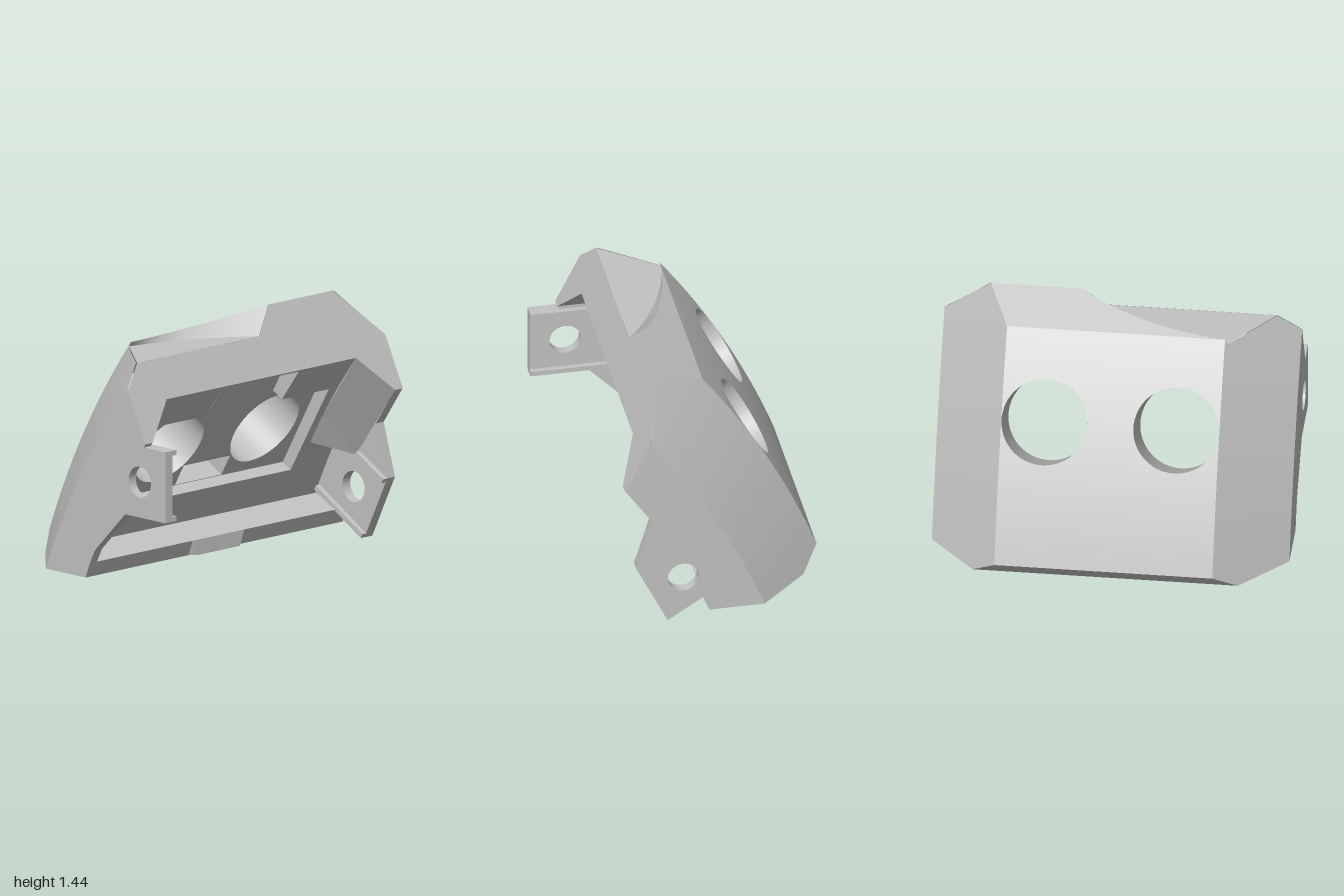
import * as THREE from 'three';

const V = (x, y, z) => new THREE.Vector3(x, y, z);
const lerp = THREE.MathUtils.lerp;

// Outer skin and cavity floor are arcs about one axis parallel to z
const CX = 3.557, CY = -1.423, R = 4.5, FLOOR_R = 4.026, DEPTH = 0.385, EDGE = 0.61, BASE = 0.042;
const arc = (r, a, z) => V(CX - r * Math.cos(a), CY + r * Math.sin(a), z);
const angleAt = (r, y) => Math.asin((y - CY) / r);
const floorAt = (y, z) => arc(FLOOR_R, angleAt(FLOOR_R, y), z);
// Tilted frame of the recess: f runs up its floor, g points out of it
const tilt = (f, g, z) => V(0.5 * f + 0.866 * g, 0.866 * f - 0.5 * g, z);
const drop = (p, g) => tilt(0.5 * p.x + 0.866 * p.y, g, p.z);
// Point on the sloping rear rim
const rimAt = (y, z) => V(0.228 + (1.437 - y) * 0.4945, y, z);
const RECESS = -0.2985, POCKET = -0.4385;
const HOLE_R = 0.24, HOLE_Z = 0.369, HOLE_F = 0.614, HOLE_A = 0.5388;

export function createModel() {
  const group = new THREE.Group();
  const grey = new THREE.MeshStandardMaterial({ color: 0xc2c2c2, side: THREE.DoubleSide });
  grey.name = 'grey';

  const add = (name, geo) => {
    const mesh = new THREE.Mesh(geo, grey);
    mesh.name = name;
    group.add(mesh);
    return mesh;
  };

  // Flat polygon in space, with optional holes
  const poly = (name, pts, holes = []) => {
    const n = V(0, 0, 0);
    pts.forEach((p, i) => n.add(p.clone().cross(pts[(i + 1) % pts.length])));
    n.normalize();
    const e = pts[1].clone().sub(pts[0]).normalize();
    const w = n.clone().cross(e);
    const flat = (l) => l.map((p) => new THREE.Vector2(p.dot(e), p.dot(w)));
    const tris = THREE.ShapeUtils.triangulateShape(flat(pts), holes.map(flat));
    const geo = new THREE.BufferGeometry().setFromPoints([...pts, ...holes.flat()]);
    geo.setIndex(tris.flat());
    const out = geo.toNonIndexed();
    out.computeVertexNormals();
    return add(name, out);
  };

  // Smooth surface from a rule over u and v in 0..1
  const surf = (name, rule, nu, nv) => {
    const pts = [], idx = [];
    for (let i = 0; i <= nu; i++) for (let j = 0; j <= nv; j++) pts.push(rule(i / nu, j / nv));
    for (let i = 0; i < nu; i++) for (let j = 0; j < nv; j++) {
      const a = i * (nv + 1) + j, b = a + nv + 1;
      idx.push(a, b, a + 1, b, b + 1, a + 1);
    }
    const geo = new THREE.BufferGeometry().setFromPoints(pts);
    geo.setIndex(idx);
    geo.computeVertexNormals();
    return add(name, geo);
  };

  // Walls joining two matching closed loops
  const walls = (name, a, b) => a.forEach((p, i) => {
    const k = (i + 1) % a.length;
    poly(name, [p, a[k], b[k], b[i]]);
  });
  const circle = (rule, n = 48) => Array.from({ length: n }, (_, i) => rule((i / n) * Math.PI * 2));

  // Outer skin: one panel around each large hole
  const a0 = angleAt(R, 0.148), a1 = angleAt(R, 1.317);
  for (const s of [1, -1]) {
    const corners = [[a0, 0], [a1, 0], [a1, EDGE], [a0, EDGE], [a0, 0]];
    surf('outerSkin', (u, v) => {
      const k = Math.min(3, Math.floor(v * 4)), t = v * 4 - k;
      const a = lerp(corners[k][0], corners[k + 1][0], t);
      const z = lerp(corners[k][1], corners[k + 1][1], t);
      const th = Math.atan2(z - HOLE_Z, (a - HOLE_A) * R);
      const ha = HOLE_A + (HOLE_R * Math.cos(th)) / R, hz = HOLE_Z + HOLE_R * Math.sin(th);
      return arc(R, lerp(ha, a, u), s * lerp(hz, z, u));
    }, 10, 96);
    surf('holeWall', (u, v) => {
      const c = HOLE_R * Math.cos(v * Math.PI * 2), d = HOLE_R * Math.sin(v * Math.PI * 2);
      const outer = arc(R, HOLE_A + c / R, s * (HOLE_Z + d));
      return outer.lerp(tilt(HOLE_F + c, RECESS, s * (HOLE_Z + d)), u);
    }, 1, 64);

    // Bevelled end, trimmed by the bottom, the top and the rim
    surf('endBevel', (u, v) => {
      const r = R - DEPTH * u, z = EDGE + 0.39 * u;
      const lo = Math.max(BASE, lerp(0.148, BASE, u / 0.34));
      let hi;
      if (s > 0) hi = u < 0.66 ? Math.max(1.29, 1.317 - u) : lerp(1.29, 1.165, (u - 0.66) / 0.34);
      else hi = u < 0.3 ? lerp(1.317, 1.437, u / 0.3) : lerp(1.437, 1.165, (u - 0.3) / 0.7);
      return arc(r, lerp(angleAt(r, lo), angleAt(r, hi), v), s * z);
    }, 50, 24);
  }

  // Top, with a curved scoop cut down to a level floor
  const bez = (p, q, r) => new THREE.QuadraticBezierCurve3(p, q, r);
  const upper = bez(V(0.228, 1.437, -0.22), V(0.035, 1.339, 0.12), V(-0.012, 1.317, 0.6));
  const lower = bez(V(0.299, 1.29, -0.08), V(0.06, 1.29, 0.19), V(-0.03, 1.29, EDGE));
  poly('topFace', [V(-0.012, 1.317, -EDGE), V(0.228, 1.437, -0.727), ...upper.getPoints(20)]);
  poly('scoopFloor', [V(0.3, 1.29, 0.867), ...lower.getPoints(20)]);
  surf('scoopWall', (u, v) => upper.getPoint(v).lerp(lower.getPoint(v), u), 1, 20);

  // Sloping rear rim around the cavity
  poly('rearRim', [[1.29, 0.867], [1.165, 1], [0.88, 1], [0.88, 0.945], [1.08, 0.74], [1.08, -0.73],
    [0.88, -0.94], [0.88, -1], [1.165, -1], [1.437, -0.727], [1.437, -0.22], [1.29, -0.08]]
    .map(([y, z]) => rimAt(y, z)));

  // Underside with two counterbored screw holes
  poly('lowerBevel', [V(-0.66, 0.148, EDGE), V(-0.66, 0.148, -EDGE), V(-0.56, BASE, -0.743), V(-0.56, BASE, 0.743)]);
  const ring = (r, y, z) => circle((t) => V(-0.29 + r * Math.cos(t), y, z + r * Math.sin(t)), 32);
  poly('underside', [[-0.56, 0.743], [-0.29, 1], [0.025, 1], [0.025, -1], [-0.29, -1], [-0.56, -0.743]]
    .map(([x, z]) => V(x, BASE, z)), [ring(0.11, BASE, 0.44), ring(0.11, BASE, -0.44)]);
  for (const z of [0.44, -0.44]) {
    const tube = (name, r1, r0, h, y) =>
      add(name, new THREE.CylinderGeometry(r1, r0, h, 32, 1, true)).position.set(-0.29, y + h / 2, z);
    tube('counterbore', 0.09, 0.11, 0.03, BASE);
    tube('screwHole', 0.09, 0.09, 0.3, BASE + 0.03);
    poly('screwHoleEnd', ring(0.09, BASE + 0.33, z));
  }

  // Lower lip with its shelf and central wedge
  poly('lipFace', [V(0.025, BASE, 0.945), V(0.06, 0.13, 0.945), V(0.06, 0.13, -0.94), V(0.025, BASE, -0.94)]);
  poly('lipShelf', [V(0.06, 0.13, 0.945), V(0.06, 0.13, -0.94), floorAt(0.19, -0.94), floorAt(0.19, 0.945)]);
  poly('lipWedge', [V(0.06, 0.13, 0.2), V(0.06, 0.13, -0.2), V(0.06, BASE, -0.165), V(0.06, BASE, 0.165)]);
  poly('lipWedgeBase', [V(0.06, BASE, 0.165), V(0.06, BASE, -0.165), V(0.025, BASE, -0.2), V(0.025, BASE, 0.2)]);
  for (const s of [1, -1]) poly('lipWedgeSide', [V(0.06, 0.13, s * 0.2), V(0.06, BASE, s * 0.165), V(0.025, BASE, s * 0.2)]);

  // Curved cavity floor in patches: y range, z range at the bottom, z range at the top
  const patches = [
    [0.19, 0.38, -0.94, 0.945, -0.94, 0.945], [0.38, 0.88, 0.66, 0.945, 0.66, 0.945],
    [0.88, 0.89, 0.66, 0.945, 0.66, 0.935], [0.38, 0.54, -0.94, -0.66, -0.94, -0.66],
    [0.54, 0.89, -0.73, -0.66, -0.73, -0.66], [0.89, 1.07, 0.295, 0.935, 0.295, 0.75],
    [0.89, 1.07, -0.73, -0.295, -0.73, -0.295], [1.07, 1.08, -0.73, 0.75, -0.73, 0.74]];
  for (const [y0, y1, l0, r0, l1, r1] of patches) {
    surf('cavityFloor', (u, v) => floorAt(lerp(y0, y1, v), lerp(lerp(l0, l1, v), lerp(r0, r1, v), u)), 1, 8);
  }

  // Flat stepped recess and small pocket
  const rim = [[0.38, 0.66], [0.89, 0.66], [0.89, 0.295], [1.07, 0.295],
    [1.07, -0.295], [0.89, -0.295], [0.89, -0.66], [0.38, -0.66]].map(([y, z]) => floorAt(y, z));
  const recess = rim.map((p) => drop(p, RECESS));
  const pocket = (g) => [[0.312, 0.18], [0.451, 0.18], [0.451, -0.18], [0.312, -0.18]].map(([f, z]) => tilt(f, g, z));
  const bore = (s) => circle((t) => tilt(HOLE_F + HOLE_R * Math.cos(t), RECESS, s * (HOLE_Z + HOLE_R * Math.sin(t))), 64);
  walls('recessWall', rim, recess);
  poly('recessFloor', recess, [bore(1), bore(-1), pocket(RECESS)]);
  walls('pocketWall', pocket(RECESS), pocket(POCKET));
  poly('pocketFloor', pocket(POCKET));

  // Cavity corners: an overhang on the left, a chamfer block on the right
  poly('cavityCorner', [rimAt(1.08, 0.74), rimAt(0.88, 0.945), floorAt(0.88, 0.945)]);
  const blockTip = V(0.19, 0.46, -0.94);
  poly('cavityFacet', [rimAt(1.08, -0.73), floorAt(0.9, -0.73), floorAt(0.72, -0.73), floorAt(0.54, -0.73),
    blockTip, rimAt(0.88, -0.94)]);
  poly('cavityFacetEnd', [floorAt(0.54, -0.73), floorAt(0.54, -0.94), blockTip]);

  // End plates with drilled mounting tabs
  const plate = (name, outline, hx, hy, z, depth) => {
    const r = R - DEPTH, lo = angleAt(r, BASE), hi = angleAt(r, 1.165);
    const shape = new THREE.Shape();
    for (let i = 0; i <= 24; i++) {
      const p = arc(r, lerp(lo, hi, i / 24), 0);
      if (i) shape.lineTo(p.x, p.y); else shape.moveTo(p.x, p.y);
    }
    outline.forEach(([x, y]) => shape.lineTo(x, y));
    shape.holes.push(new THREE.Path().absarc(hx, hy, 0.088, 0, Math.PI * 2, true));
    add(name, new THREE.ExtrudeGeometry(shape, { depth, bevelEnabled: false, curveSegments: 32 })).position.z = z;
  };
  plate('leftEndPlate', [[0.5, 0.88], [0.49, 0.86], [0.66, 0.86], [0.66, 0.455], [0.34, 0.455],
    [0.1, 0.21], [0.06, 0.13], [0.025, BASE]], 0.457, 0.657, 0.945, 0.055);
  plate('rightEndPlate', [[0.5, 0.88], [0.35, 0.664], [0.44, 0.365], [0.26, 0],
    [0.06, 0.13], [0.025, BASE]], 0.172, 0.275, -1, 0.06);

  // Ribs along the tab edges, running back into the cavity
  const rib = (name, len, x, y, z, angle) => {
    const mesh = add(name, new THREE.BoxGeometry(len, 0.028, 0.04));
    mesh.position.set(x, y, z);
    mesh.rotation.z = angle;
  };
  rib('leftTabRib', 0.43, 0.445, 0.846, 0.935, 0);
  rib('leftTabRib', 0.53, 0.395, 0.469, 0.935, 0);
  rib('rightTabRib', 0.25, 0.323, 0.413, -0.93, -0.51);
  rib('rightTabRib', 0.43, 0.081, 0.121, -0.93, -0.53);

  return group;
}
